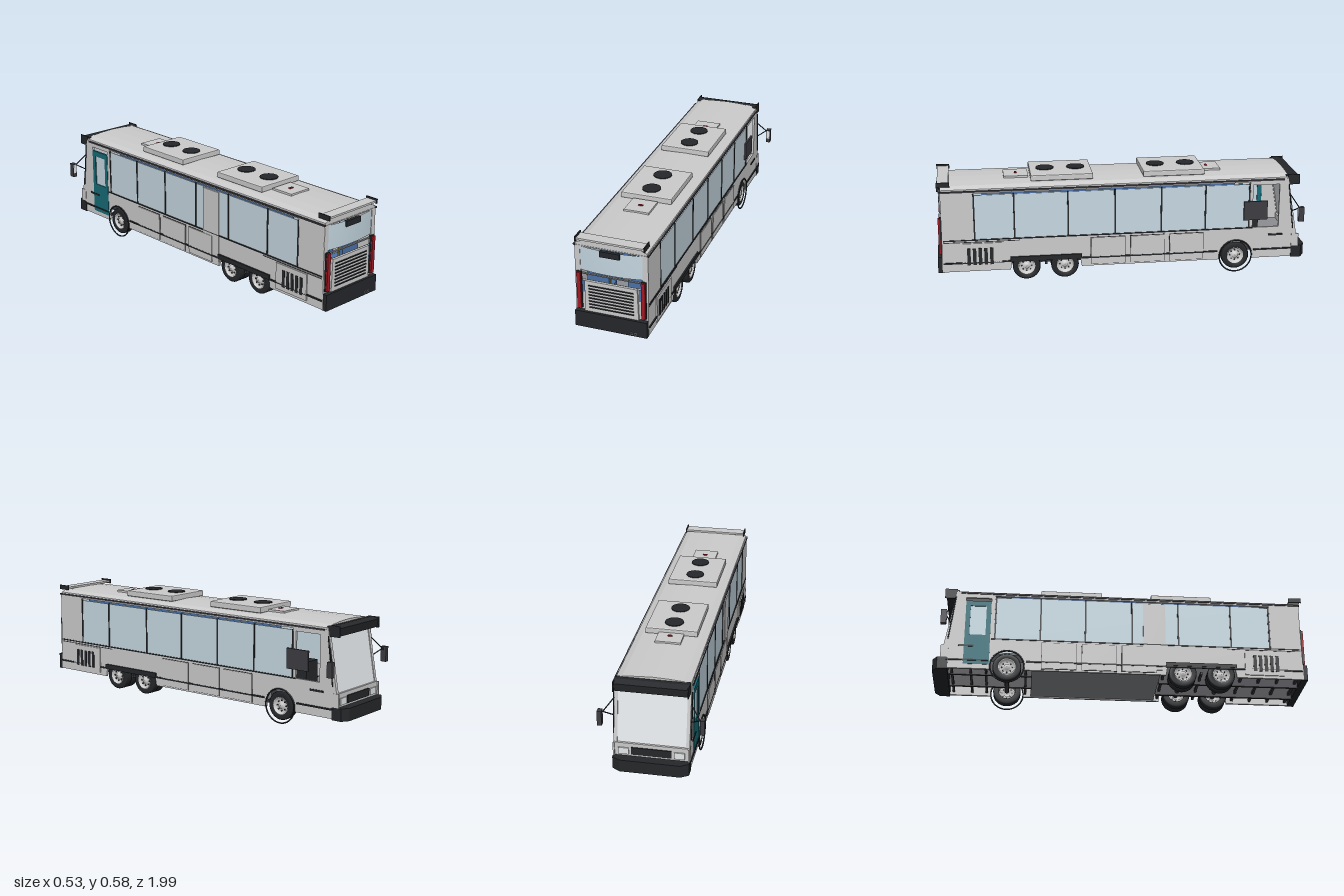
import * as THREE from 'three';

const mat = (color, side = THREE.FrontSide) => new THREE.MeshStandardMaterial({ color, side });
const grey = mat(0xcccccc), greyBoth = mat(0xcccccc, THREE.DoubleSide);
const black = mat(0x25272a), darkGrey = mat(0x3c3c42), mid = mat(0x8c8e92);
const glass = mat(0xc6d8e2, THREE.DoubleSide), pale = mat(0xe4e8ea, THREE.DoubleSide);
const red = mat(0xa31824), blue = mat(0x4a72a8), teal = mat(0x176a76), yellow = mat(0xd8c020);

export function createModel() {
  const bus = new THREE.Group();
  const add = (name, geo, m, x = 0, y = 0, z = 0, parent = bus) => {
    const mesh = new THREE.Mesh(geo, m);
    mesh.name = name;
    mesh.position.set(x, y, z);
    parent.add(mesh);
    return mesh;
  };
  // box given by its limits on each axis
  const box = (name, m, x0, x1, y0, y1, z0, z1) =>
    add(name, new THREE.BoxGeometry(x1 - x0, y1 - y0, z1 - z0), m, (x0 + x1) / 2, (y0 + y1) / 2, (z0 + z1) / 2);
  const bothBoxes = (name, m, x0, x1, ...rest) => {
    box(name, m, x0, x1, ...rest);
    box(name, m, -x1, -x0, ...rest);
  };
  const rod = (name, m, a, b, r) => {
    const p = new THREE.Vector3(...a), q = new THREE.Vector3(...b);
    const mesh = add(name, new THREE.CylinderGeometry(r, r, p.distanceTo(q), 8), m);
    mesh.position.copy(p).add(q).multiplyScalar(0.5);
    mesh.quaternion.setFromUnitVectors(new THREE.Vector3(0, 1, 0), q.sub(p).normalize());
  };
  const poly = pts => new THREE.Shape(pts.map(p => new THREE.Vector2(...p)));
  const rect = (a, b, c, d) => poly([[a, c], [b, c], [b, d], [a, d]]);
  const extrude = (shape, depth) => new THREE.ExtrudeGeometry(shape, { depth, bevelEnabled: false, curveSegments: 20 });

  // side walls, drawn in (z, y), with wheel arches and openings
  for (const s of [1, -1]) {
    const wall = new THREE.Shape();
    wall.moveTo(-0.93, 0.075);
    wall.lineTo(-0.70, 0.075);
    wall.absarc(-0.61, 0.093, 0.09, Math.PI, 0, true);
    wall.lineTo(-0.52, 0.075);
    wall.lineTo(0.23, 0.075);
    wall.lineTo(0.24, 0.135);
    wall.lineTo(0.60, 0.135);
    wall.lineTo(0.61, 0.075);
    wall.lineTo(0.97, 0.075);
    wall.lineTo(0.965, 0.52);
    wall.lineTo(-0.885, 0.52);
    wall.lineTo(-0.94, 0.20);
    wall.holes.push(rect(-0.685, 0.80, 0.25, 0.505));
    wall.holes.push(s > 0 ? rect(-0.845, -0.70, 0.25, 0.49) : rect(-0.84, -0.705, 0.11, 0.49));
    add('sideWall', extrude(wall, 0.012).rotateY(-Math.PI / 2), grey, s > 0 ? 0.188 : -0.176);

    // window band, dividers and upper trim
    const x = s * 0.184;
    const sideBox = (name, m, w, y0, y1, z0, z1, cx = x) => box(name, m, cx - w / 2, cx + w / 2, y0, y1, z0, z1);
    sideBox('sideWindow', glass, 0.004, 0.25, 0.495, -0.685, 0.80);
    for (const z of [0.795, 0.585, 0.30, 0.05, -0.20, -0.44, -0.68])
      sideBox('windowDivider', black, 0.008, 0.25, 0.498, z - 0.004, z + 0.004, s * 0.185);
    sideBox('windowSill', black, 0.006, 0.246, 0.252, -0.70, 0.96, s * 0.188);
    sideBox('dripRail', darkGrey, 0.01, 0.512, 0.52, -0.87, 0.97, s * 0.188);
    sideBox('innerTrim', blue, 0.006, 0.485, 0.515, -0.6, 0.75, s * 0.176);
    sideBox('rubStrip', black, 0.008, 0.119, 0.127, -0.51, 0.965, s * 0.19);
    sideBox('rubStrip', black, 0.008, 0.119, 0.127, -0.93, -0.71, s * 0.19);
    sideBox('wheelFender', black, 0.014, 0.127, 0.147, 0.23, 0.61, s * 0.189);
    sideBox('sideMarker', black, 0.004, 0.20, 0.21, -0.87, -0.79, s * 0.19);

    // engine vent and three luggage flaps
    sideBox('ventPanel', grey, 0.008, 0.09, 0.232, 0.655, 0.865, s * 0.19);
    for (let i = 0; i < 5; i++)
      sideBox('ventSlot', black, 0.006, 0.112, 0.205, 0.70 + i * 0.03, 0.718 + i * 0.03, s * 0.193);
    for (const z of [0.088, -0.125, -0.338]) {
      sideBox('flapSeam', darkGrey, 0.003, 0.083, 0.237, z - 0.094, z + 0.094, s * 0.188);
      sideBox('luggageFlap', grey, 0.008, 0.086, 0.234, z - 0.091, z + 0.091, s * 0.189);
    }
    sideBox('bodySeam', darkGrey, 0.003, 0.236, 0.24, 0.56, 0.96, s * 0.188);
  }

  // passenger entrance, centre door and driver's side panel
  const door = rect(-0.84, -0.705, 0.10, 0.47);
  door.holes.push(rect(-0.815, -0.73, 0.27, 0.44));
  add('entranceDoor', extrude(door, 0.012).rotateY(-Math.PI / 2), teal, -0.178);
  box('doorGlass', glass, -0.185, -0.182, 0.27, 0.44, -0.815, -0.73);
  box('centreDoor', grey, -0.191, -0.186, 0.10, 0.49, 0.11, 0.23);
  box('driverScreen', darkGrey, 0.186, 0.196, 0.295, 0.40, -0.78, -0.65);

  // cambered roof
  const roof = poly([[-0.187, 0.51], [0.187, 0.51], [0.183, 0.527], [0.15, 0.54], [0.08, 0.546], [0, 0.549],
    [-0.08, 0.546], [-0.15, 0.54], [-0.183, 0.527]]);
  add('roof', extrude(roof, 1.855), grey, 0, 0, -0.89);

  // roof air units with twin fans, and hatches
  for (const z of [0.325, -0.275]) {
    const shape = rect(-0.125, 0.125, -0.155, 0.155);
    const unit = new THREE.ExtrudeGeometry(shape, { depth: 0.022, bevelSize: 0.01, bevelThickness: 0.006, bevelSegments: 3 });
    add('airUnit', unit.rotateX(-Math.PI / 2), grey, 0, 0.549, z);
    for (const d of [-0.083, 0.083])
      add('fan', new THREE.CylinderGeometry(0.048, 0.048, 0.006, 32), black, 0, 0.578, z + d);
  }
  for (const [z0, z1, zr] of [[0.50, 0.63, 0.565], [-0.54, -0.44, -0.473]]) {
    box('roofHatch', grey, -0.066, 0.066, 0.54, 0.557, z0, z1);
    box('hatchHandle', red, -0.012, 0.012, 0.556, 0.561, zr - 0.006, zr + 0.006);
  }

  // rear wing with end plates and brake light
  box('rearWing', grey, -0.172, 0.172, 0.548, 0.558, 0.92, 0.98);
  bothBoxes('wingEndPlate', black, 0.172, 0.178, 0.542, 0.567, 0.915, 0.985);
  bothBoxes('wingStrut', grey, 0.12, 0.128, 0.53, 0.55, 0.93, 0.96);
  box('brakeLight', red, -0.058, 0.058, 0.545, 0.551, 0.962, 0.972);

  // rear wall with engine cover
  const rear = poly([[-0.187, 0.075], [0.187, 0.075], [0.187, 0.515], [-0.187, 0.515]]);
  rear.holes.push(rect(-0.16, 0.16, 0.325, 0.51));
  add('rearWall', extrude(rear, 0.012), grey, 0, 0, 0.955);
  const pane = new THREE.PlaneGeometry(0.32, 0.13, 16, 6), pp = pane.attributes.position;
  for (let i = 0; i < pp.count; i++)
    pp.setZ(i, 0.015 * (1 - (pp.getX(i) / 0.16) ** 2) - 0.08 * (pp.getY(i) - 0.065) ** 2);
  pane.computeVertexNormals();
  add('rearWindow', pane, glass, 0, 0.445, 0.965);
  box('signBox', black, -0.051, 0.051, 0.48, 0.51, 0.97, 0.988);
  box('rearRail', mid, -0.16, 0.16, 0.357, 0.363, 0.955, 0.965);
  add('engineCover', extrude(poly([[-0.14, 0.16], [0.14, 0.16], [0.135, 0.33], [-0.135, 0.33]]), 0.014), grey, 0, 0, 0.965);
  for (let i = 0; i < 8; i++) {
    const y = 0.185 + i * 0.0172;
    box('engineSlot', black, -0.116, 0.116, y - 0.003, y + 0.003, 0.977, 0.983);
  }
  bothBoxes('sideTrim', blue, 0.14, 0.16, 0.26, 0.325, 0.962, 0.969);
  bothBoxes('lampHousing', black, 0.153, 0.179, 0.17, 0.374, 0.965, 0.975);
  bothBoxes('tailLamp', red, 0.156, 0.176, 0.173, 0.371, 0.97, 0.984);
  box('rearBumper', black, -0.187, 0.187, 0.073, 0.16, 0.955, 0.992);
  for (const x of [0.107, 0.128])
    add('exhaust', new THREE.TorusGeometry(0.007, 0.0015, 8, 20), mid, x, 0.087, 0.993);

  // raked nose: windscreen, corner posts, lower panel and bumper
  const slope = Math.atan2(0.055, 0.32);
  const slab = (name, m, x, w, y0, y1, t, off = 0) => {
    const y = (y0 + y1) / 2;
    const zc = -0.885 - (0.52 - y) * 0.055 / 0.32 - off;
    add(name, new THREE.BoxGeometry(w, (y1 - y0) / Math.cos(slope), t), m, x, y, zc).rotation.x = slope;
  };
  slab('windscreen', pale, 0, 0.345, 0.205, 0.50, 0.006);
  for (const s of [1, -1]) slab('cornerPost', grey, s * 0.179, 0.018, 0.20, 0.52, 0.014);
  slab('screenHeader', grey, 0, 0.36, 0.48, 0.53, 0.012);
  box('nosePanel', grey, -0.187, 0.187, 0.08, 0.205, -0.952, -0.925);
  box('noseGrille', black, -0.10, 0.10, 0.145, 0.185, -0.957, -0.945);
  bothBoxes('headlamp', pale, 0.112, 0.165, 0.145, 0.18, -0.958, -0.945);
  const bumper = poly([[-0.19, -0.92], [0.19, -0.92], [0.19, -0.975], [0.15, -1], [-0.15, -1], [-0.19, -0.975]]);
  add('noseBumper', extrude(bumper, 0.065).rotateX(Math.PI / 2).scale(1, 1, 1), black, 0, 0.135, 0);
  bothBoxes('bumperCorner', grey, 0.182, 0.19, 0.135, 0.205, -0.96, -0.92);
  const visor = poly([[-0.88, 0.535], [-0.89, 0.495], [-0.945, 0.488], [-0.952, 0.53], [-0.92, 0.542]]);
  add('noseVisor', extrude(visor, 0.36).rotateY(-Math.PI / 2), black, 0.18);
  bothBoxes('visorEnd', black, 0.178, 0.184, 0.485, 0.54, -0.955, -0.89);

  // mirrors on twin arms
  for (const s of [1, -1]) {
    box('mirror', darkGrey, s * 0.2515 - 0.0115, s * 0.2515 + 0.0115, 0.298, 0.377, -0.965, -0.935);
    box('mirrorGlass', pale, s * 0.2515 - 0.009, s * 0.2515 + 0.009, 0.322, 0.372, -0.936, -0.933);
    rod('mirrorArm', black, [s * 0.187, 0.43, -0.905], [s * 0.243, 0.36, -0.95], 0.003);
    rod('mirrorArm', black, [s * 0.187, 0.335, -0.915], [s * 0.243, 0.372, -0.95], 0.003);
    rod('noseRail', black, [s * 0.193, 0.24, -0.925], [s * 0.193, 0.49, -0.895], 0.003);
  }

  // wheels: lathed tyre, dished rim, hub and nuts
  const wheel = (x, y, z, r, w, s) => {
    const g = new THREE.Group();
    g.name = 'wheel';
    g.position.set(x, y, z);
    g.rotation.z = -s * Math.PI / 2;
    const h = w / 2;
    const tyre = [[0.6, -h], [0.93, -h], [1, -h * 0.75], [1, h * 0.75], [0.93, h], [0.6, h], [0.57, h * 0.6]];
    add('tyre', new THREE.LatheGeometry(tyre.map(p => new THREE.Vector2(p[0] * r, p[1])), 32), mat(0x25272a, THREE.DoubleSide), 0, 0, 0, g);
    const rim = [[0.61, 1.02], [0.55, 1], [0.5, 0.5], [0.25, 0.45], [0.2, 0.9], [0, 0.95]];
    add('rim', new THREE.LatheGeometry(rim.map(p => new THREE.Vector2(p[0] * r, p[1] * h)), 24), greyBoth, 0, 0, 0, g);
    for (let i = 0; i < 8; i++) {
      const a = i * Math.PI / 4;
      add('wheelNut', new THREE.CylinderGeometry(0.004, 0.004, 0.008, 6), darkGrey, Math.cos(a) * r * 0.37, h * 0.55, Math.sin(a) * r * 0.37, g);
    }
    bus.add(g);
  };
  for (const s of [1, -1]) {
    wheel(s * 0.163, 0.093, -0.61, 0.075, 0.046, s);
    add('archRing', new THREE.TorusGeometry(0.089, 0.004, 8, 48).rotateY(Math.PI / 2), black, s * 0.191, 0.093, -0.61);
    for (const z of [0.525, 0.32])
      for (const x of [0.165, 0.118]) wheel(s * x, 0.089, z, 0.074, 0.044, s);
  }
  for (const z of [-0.61, 0.32, 0.525]) rod('axle', darkGrey, [-0.15, 0.093, z], [0.15, 0.093, z], 0.012);

  // floor, belly tank and chassis frame
  box('floor', mid, -0.178, 0.178, 0.165, 0.175, -0.93, 0.96);
  box('belly', mid, -0.177, 0.177, 0.08, 0.165, -0.48, 0.20);
  bothBoxes('chassisRail', darkGrey, 0.07, 0.085, 0.085, 0.165, -0.93, -0.48);
  bothBoxes('chassisRail', darkGrey, 0.07, 0.085, 0.07, 0.165, 0.20, 0.96);
  for (const z of [-0.90, -0.80, -0.72, -0.51, 0.22, 0.42, 0.64, 0.74, 0.84, 0.94])
    box('crossMember', darkGrey, -0.176, 0.176, 0.09, 0.105, z - 0.006, z + 0.006);

  // interior seats and grab poles
  for (let z = -0.5; z < 0.85; z += 0.16) {
    bothBoxes('seat', blue, 0.05, 0.165, 0.20, 0.235, z, z + 0.08);
    bothBoxes('seatBack', blue, 0.05, 0.165, 0.20, 0.345, z + 0.08, z + 0.10);
  }
  box('driverSeat', black, 0.05, 0.15, 0.175, 0.33, -0.74, -0.68);
  for (const s of [1, -1])
    for (const z of [-0.3, 0.2, 0.85]) rod('grabPole', yellow, [s * 0.053, 0.175, z], [s * 0.053, 0.512, z], 0.003);
  return bus;
}
